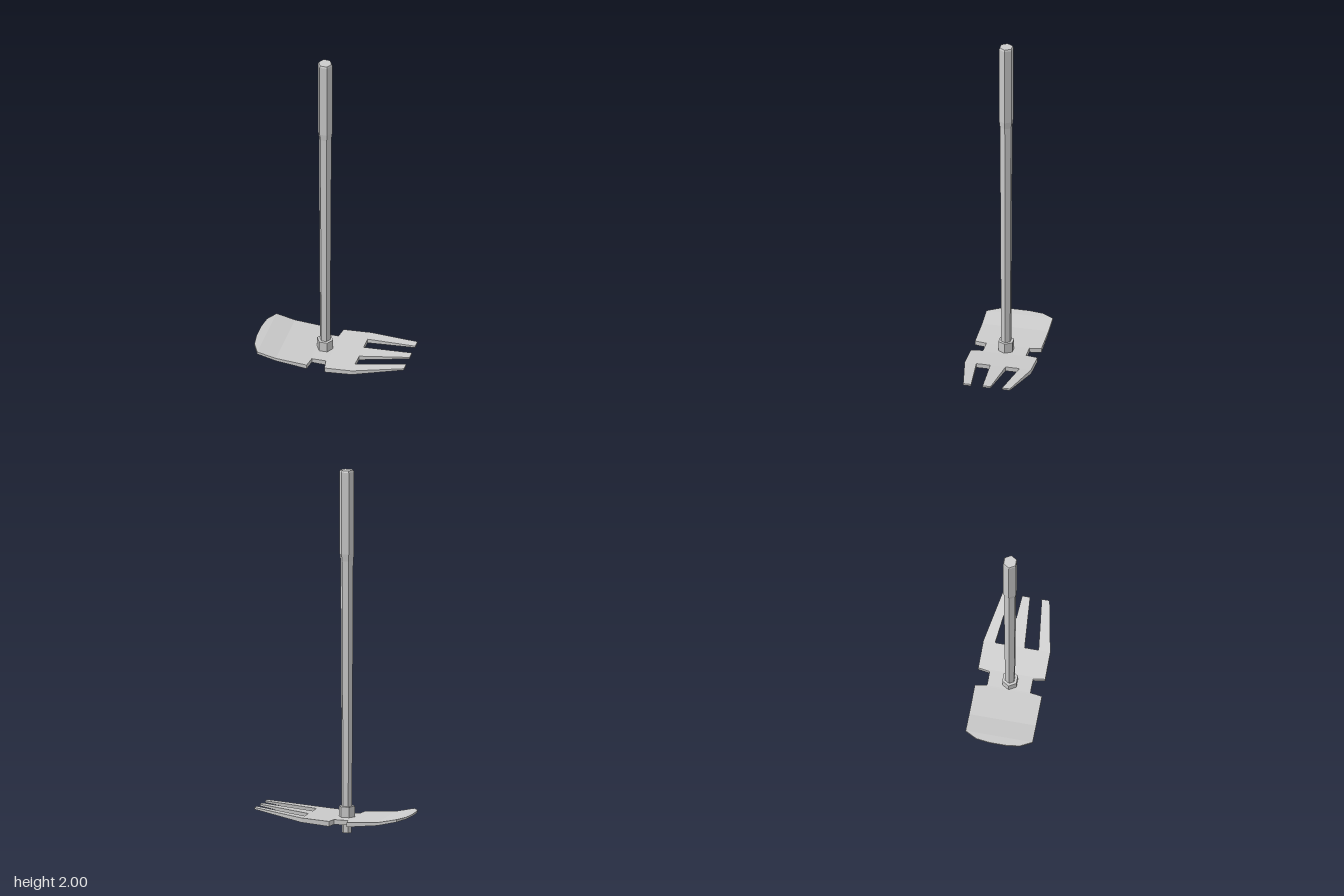
import * as THREE from 'three';

const HANDLE_X = -0.055;

// Bend and taper of the head plate: [x, bottom y, top y]
const BEND = [
  [-0.43, 0.112, 0.122], [-0.385, 0.104, 0.118], [-0.28, 0.08, 0.097], [-0.1, 0.063, 0.088],
  [0, 0.062, 0.09], [0.15, 0.077, 0.102], [0.43, 0.127, 0.137],
];

function bendAt(x) {
  let i = 0;
  while (i < BEND.length - 2 && x > BEND[i + 1][0]) i++;
  const a = BEND[i], b = BEND[i + 1];
  const t = (x - a[0]) / (b[0] - a[0]);
  return [THREE.MathUtils.lerp(a[1], b[1], t), THREE.MathUtils.lerp(a[2], b[2], t)];
}

// Plate lofted along +x through stations [x, zMin, zMax]
function plateGeometry(stations, startCap) {
  const pos = [], index = [];
  for (const [x, z0, z1] of stations) {
    const [lo, hi] = bendAt(x);
    pos.push(x, lo, z0, x, lo, z1, x, hi, z1, x, hi, z0);
  }
  const last = (stations.length - 1) * 4;
  for (let s = 0; s < last; s += 4) {
    for (let k = 0; k < 4; k++) {
      const a = s + k, b = s + (k + 1) % 4;
      index.push(a, a + 4, b, b, a + 4, b + 4);
    }
  }
  if (startCap) index.push(0, 1, 2, 0, 2, 3);
  index.push(last, last + 2, last + 1, last, last + 3, last + 2);
  const g = new THREE.BufferGeometry();
  g.setAttribute('position', new THREE.Float32BufferAttribute(pos, 3));
  g.setIndex(index);
  const flat = g.toNonIndexed();
  flat.computeVertexNormals();
  return flat;
}

// Six-sided turned part with corners on the x axis, profile of [radius, y]
function hexTurned(profile) {
  const g = new THREE.LatheGeometry(profile.map(([r, y]) => new THREE.Vector2(r, y)), 6, Math.PI / 2);
  return g.translate(HANDLE_X, 0, 0);
}

export function createModel() {
  const model = new THREE.Group();
  const material = new THREE.MeshStandardMaterial({ color: 0xcccccc, flatShading: true });
  const add = (name, geometry, parent = model) => {
    const mesh = new THREE.Mesh(geometry, material);
    mesh.name = name;
    parent.add(mesh);
  };

  // Tapered handle with a small chamfer at the top
  add('handle', hexTurned([
    [0, 0], [0.027, 0], [0.029, 0.15], [0.036, 1.5], [0.041, 1.54], [0.041, 1.99], [0.037, 2], [0, 2],
  ]));

  // Collar holding the head
  add('collar', hexTurned([[0, 0.064], [0.045, 0.064], [0.045, 0.147], [0.029, 0.147]]));

  // Head: rounded blade, waist notches and fork root
  const head = new THREE.Group();
  head.name = 'head';
  model.add(head);
  const halfWidths = [
    [-0.43, 0.045], [-0.42, 0.12], [-0.385, 0.185], [-0.28, 0.185], [-0.105, 0.185],
    [-0.095, 0.12], [-0.015, 0.12], [-0.005, 0.185], [0.15, 0.185],
  ];
  add('blade', plateGeometry(halfWidths.map(([x, w]) => [x, -w, w]), true), head);

  // Three tapering tines
  add('middleTine', plateGeometry([[0.15, -0.043, 0.043], [0.43, -0.022, 0.022]], false), head);
  add('leftTine', plateGeometry([[0.15, 0.12, 0.185], [0.43, 0.086, 0.13]], false), head);
  add('rightTine', plateGeometry([[0.15, -0.185, -0.12], [0.43, -0.13, -0.086]], false), head);

  return model;
}
